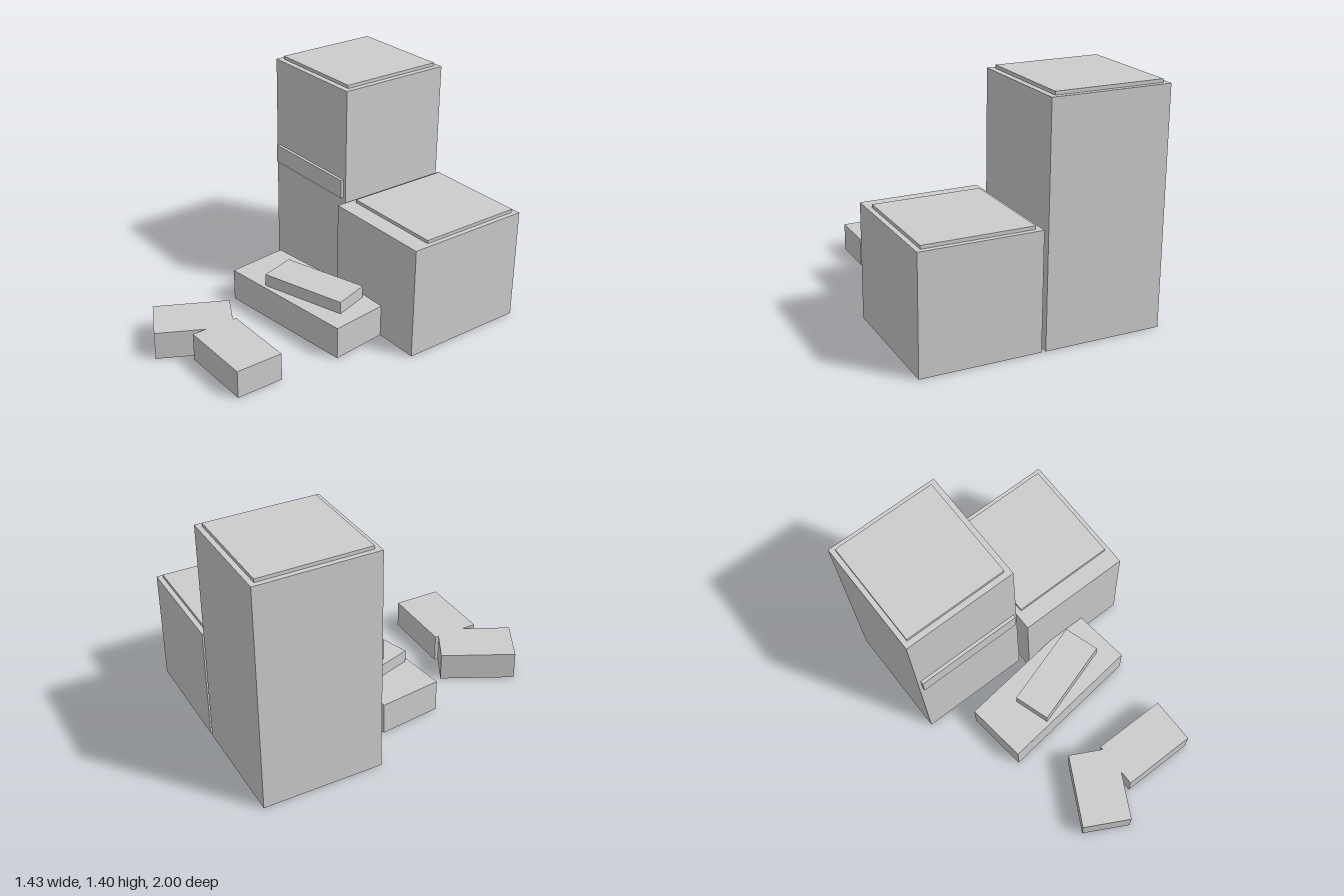
import * as THREE from 'three';

export function createModel() {
  const group = new THREE.Group();
  const grey = new THREE.MeshStandardMaterial({ color: 0xcccccc });
  grey.name = 'plain grey';

  const add = (name, geometry) => {
    const mesh = new THREE.Mesh(geometry, grey);
    mesh.name = name;
    group.add(mesh);
    return mesh;
  };

  // Axis-aligned block given by its extents
  const block = (name, [x0, x1], [y0, y1], [z0, z1]) =>
    add(name, new THREE.BoxGeometry(x1 - x0, y1 - y0, z1 - z0))
      .position.set((x0 + x1) / 2, (y0 + y1) / 2, (z0 + z1) / 2);

  // Slab turned about the vertical axis
  const turnedSlab = (name, w, h, d, x, y, z, angle) => {
    const mesh = add(name, new THREE.BoxGeometry(w, h, d));
    mesh.position.set(x, y + h / 2, z);
    mesh.rotation.y = angle;
  };

  // Tall tower with roof plate and front band
  block('tallTower', [-0.72, -0.015], [0, 1.385], [-1, -0.275]);
  block('tallTowerRoof', [-0.69, -0.05], [1.385, 1.405], [-0.97, -0.31]);
  block('tallTowerBand', [-0.70, -0.035], [0.705, 0.82], [-0.275, -0.255]);

  // Low tower with roof plate
  block('lowTower', [0.01, 0.715], [0, 0.69], [-1, -0.2]);
  block('lowTowerRoof', [0.045, 0.685], [0.69, 0.71], [-0.97, -0.31]);

  // Two stacked slabs, each turned a little further
  turnedSlab('lowerSlab', 0.917, 0.2, 0.388, -0.0025, 0, 0.0175, 0.12);
  turnedSlab('upperSlab', 0.55, 0.077, 0.231, 0.0625, 0.2, 0.0175, 0.305);

  // Bent block in front: outline as [x, z]
  const outline = [
    [-0.4, 0.86], [-0.137, 1], [0, 0.735], [0, 0.825],
    [0.46, 0.825], [0.46, 0.533], [0, 0.533], [0, 0.555], [-0.19, 0.455],
  ];
  const shape = new THREE.Shape(outline.map(([x, z]) => new THREE.Vector2(x, -z)));
  add('bentBlock', new THREE.ExtrudeGeometry(shape, { depth: 0.172, bevelEnabled: false })
    .rotateX(-Math.PI / 2));

  return group;
}
